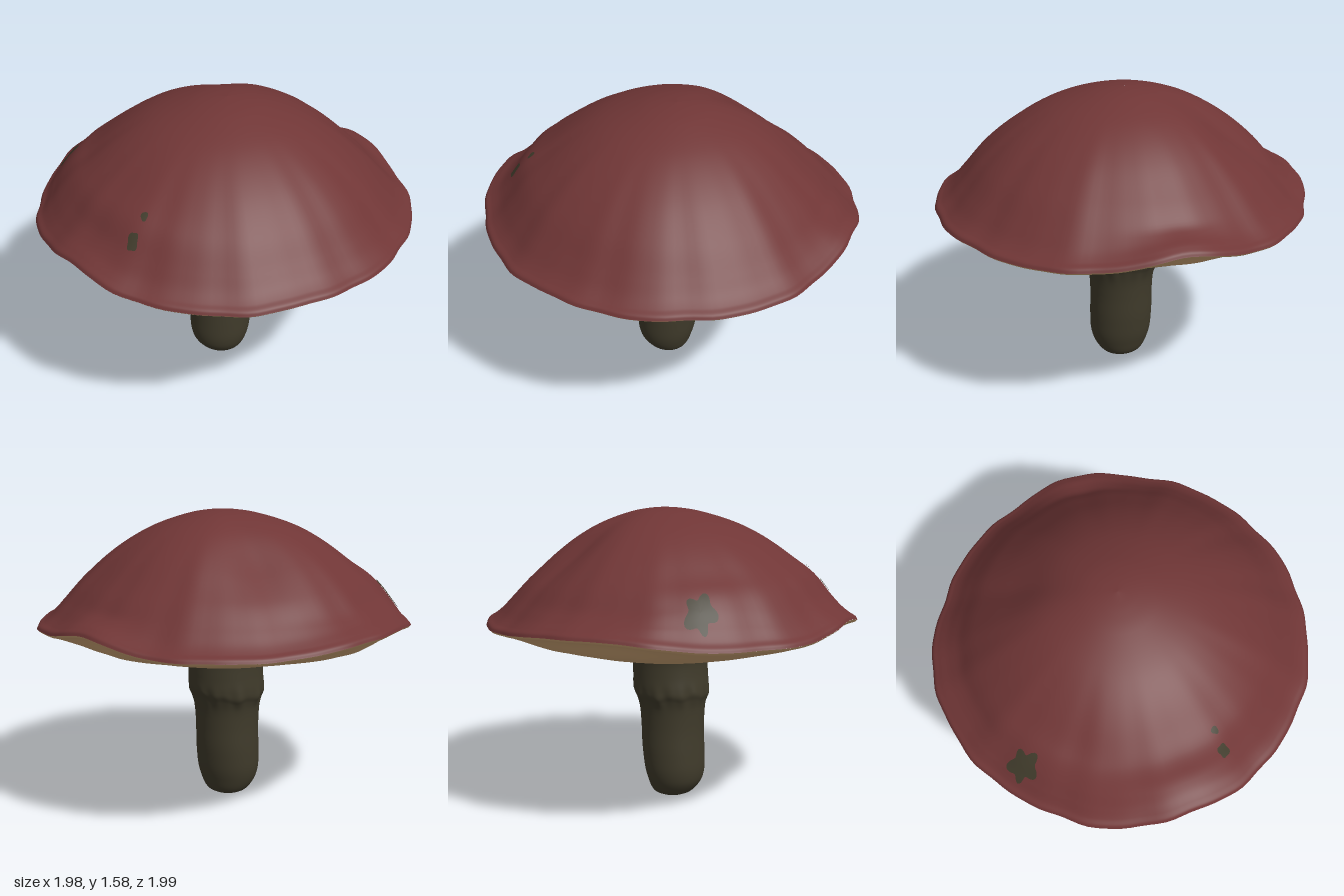
import * as THREE from 'three';

const SEG = 144;
const smooth = THREE.MathUtils.smoothstep;

const mat = (name, color, side = THREE.FrontSide) => {
  const m = new THREE.MeshStandardMaterial({ color, side });
  m.name = name;
  return m;
};

const gauss = (d, width) => Math.exp(-((d / width) ** 2));

// bump around direction `deg` (0 = +x, 90 = +z)
const bump = (a, deg, width) => {
  const d = a - THREE.MathUtils.degToRad(deg);
  return gauss(Math.atan2(Math.sin(d), Math.cos(d)), THREE.MathUtils.degToRad(width));
};

// skin of rings of n points, listed so that the surface faces outwards
function skin(rows, point, n = SEG) {
  const pos = [], idx = [];
  for (let i = 0; i <= rows; i++)
    for (let j = 0; j < n; j++) pos.push(...point(i / rows, (j / n) * Math.PI * 2));
  for (let i = 0; i < rows; i++)
    for (let j = 0; j < n; j++) {
      const k = (j + 1) % n, a = i * n + j, b = a + n, c = i * n + k, d = c + n;
      idx.push(a, c, b, b, c, d);
    }
  const g = new THREE.BufferGeometry();
  g.setAttribute('position', new THREE.Float32BufferAttribute(pos, 3));
  g.setIndex(idx);
  g.computeVertexNormals();
  return g;
}

const curve = (pts) => new THREE.CatmullRomCurve3(pts.map(([r, y]) => new THREE.Vector3(r, y, 0)));

// wavy rim: outline radius and height
const rimRadius = (a) => 0.987 + 0.007 * Math.sin(a) ** 2 + 0.01 * bump(a, 55, 25)
  - 0.018 * bump(a, -52, 28) - 0.016 * bump(a, 236, 22)
  + 0.004 * Math.sin(9 * a + 0.6) + 0.004 * Math.sin(17 * a + 2) + 0.002 * Math.sin(29 * a);
const rimLift = (a) => 0.064 * bump(a, 9, 16) + 0.05 * bump(a, 270, 28) + 0.055 * bump(a, 180, 18)
  + 0.005 * Math.sin(7 * a + 1) * Math.cos(3 * a);

const capCurve = curve([[0.001, 1.577], [0.1, 1.568], [0.2, 1.548], [0.4, 1.477], [0.6, 1.358], [0.75, 1.23],
  [0.86, 1.105], [0.92, 1.04], [0.96, 1.008], [0.99, 0.99], [1, 0.973]]);
const gillCurve = curve([[1, 0.973], [0.988, 0.962], [0.95, 0.95], [0.87, 0.928], [0.75, 0.896], [0.5, 0.832],
  [0.32, 0.803], [0.24, 0.796], [0.222, 0.787], [0.19, 0.784]]);

// moves a profile point out to the wavy rim, with the dent and uneven fullness of the top
function shape(p, a, top) {
  const t = p.x, r = t * (1 + (rimRadius(a) - 1) * smooth(t, 0.25, 0.7));
  let x = r * Math.cos(a), y = p.y + rimLift(a) * smooth(t, 0.82, 0.97);
  if (top) {
    x += 0.03 * (1 - smooth(t, 0, 0.6));
    y -= 0.05 * bump(a, -50, 19) * gauss(t - 0.55, 0.22);
    y -= 0.018 * bump(a, 0, 55) * gauss(t - 0.72, 0.13);
    y += 0.03 * bump(a, 175, 30) * gauss(t - 0.79, 0.11);
    y += 0.05 * bump(a, 232, 26) * gauss(t - 0.85, 0.11) * (1 - smooth(t, 0.92, 1));
  } else {
    y += 0.012 * Math.sin(6 * a) * bump(a, 40, 35) * smooth(t, 0.6, 0.82) * (1 - smooth(t, 0.85, 0.98));
  }
  return [x, y, r * Math.sin(a)];
}

// point on the outer part of the cap above (x, z)
function onCap(x, z) {
  const a = Math.atan2(z, x), r = Math.hypot(x, z);
  let lo = 0, hi = 1;
  for (let i = 0; i < 30; i++) {
    const m = (lo + hi) / 2, q = shape(capCurve.getPoint(m), a, true);
    if (Math.hypot(q[0], q[2]) < r) lo = m; else hi = m;
  }
  return [x, shape(capCurve.getPoint(lo), a, true)[1] + 0.008, z];
}

// thin irregular patch lying on the cap; rings run from the middle outwards
const patch = (cx, cz, radius, lobes, depth) => skin(5, (u, a) => {
  const r = u * radius * (1 + depth * Math.sin(lobes * a + 0.5) + depth * 0.6 * Math.sin(2 * a + 3.6));
  return onCap(cx + r * Math.cos(a), cz + r * Math.sin(a));
}, 48);

export function createModel() {
  const group = new THREE.Group();
  const red = mat('cap red', 0x703636);
  const tan = mat('gill tan', 0xd6ab79);
  const olive = mat('stem olive', 0x403b2b, THREE.DoubleSide);
  const grey = mat('cut grey', 0xf0f0f4);
  const add = (name, geo, m) => {
    const mesh = new THREE.Mesh(geo, m);
    mesh.name = name;
    group.add(mesh);
    return mesh;
  };

  // domed cap with a flared lip, and the shallow bowl beneath it
  add('cap', skin(80, (u, a) => shape(capCurve.getPoint(u), a, true)), red);
  add('gills', skin(48, (u, a) => shape(gillCurve.getPoint(u), a, false)), tan);

  // stem: swollen collar with a ragged lower edge, then a leaning shaft with a rounded foot
  const stemCurve = curve([[0.212, 0.8], [0.205, 0.765], [0.204, 0.69], [0.207, 0.62], [0.205, 0.585], [0.192, 0.552],
    [0.18, 0.505], [0.173, 0.4], [0.174, 0.25], [0.168, 0.14], [0.147, 0.07], [0.112, 0.02], [0.075, 0.001]]);
  add('stem', skin(72, (u, a) => {
    const p = stemCurve.getPoint(u);
    const ring = gauss(p.y - 0.58, 0.05);
    const lean = -0.014 * (1 - smooth(p.y, 0.45, 0.75)) - 0.012 * (1 - smooth(p.y, 0.05, 0.35)) * smooth(p.y, 0, 0.1);
    const r = p.x * (1 - 0.08 * bump(a, 0, 50) * (1 - smooth(p.y, 0.1, 0.5)))
      + ring * (0.003 * Math.sin(11 * a) + 0.002 * Math.sin(19 * a + 1));
    const y = p.y + ring * (0.012 * Math.sin(a * 2 + 0.4) + 0.006 * Math.sin(9 * a) + 0.012 * Math.cos(a));
    return [r * Math.cos(a) + lean, y, r * Math.sin(a)];
  }), olive);

  // flat cut end of the stem
  const end = add('stemEnd', new THREE.CircleGeometry(0.078, 32), grey);
  end.rotation.x = Math.PI / 2;
  end.position.set(-0.014, 0, 0);

  // moss patches on the cap
  add('largePatch', patch(-0.467, -0.715, 0.066, 5, 0.22), olive);
  add('mediumPatch', patch(-0.79, 0.21, 0.028, 4, 0.12), olive);
  add('smallPatch', patch(-0.7, 0.195, 0.018, 3, 0.1), olive);

  return group;
}
